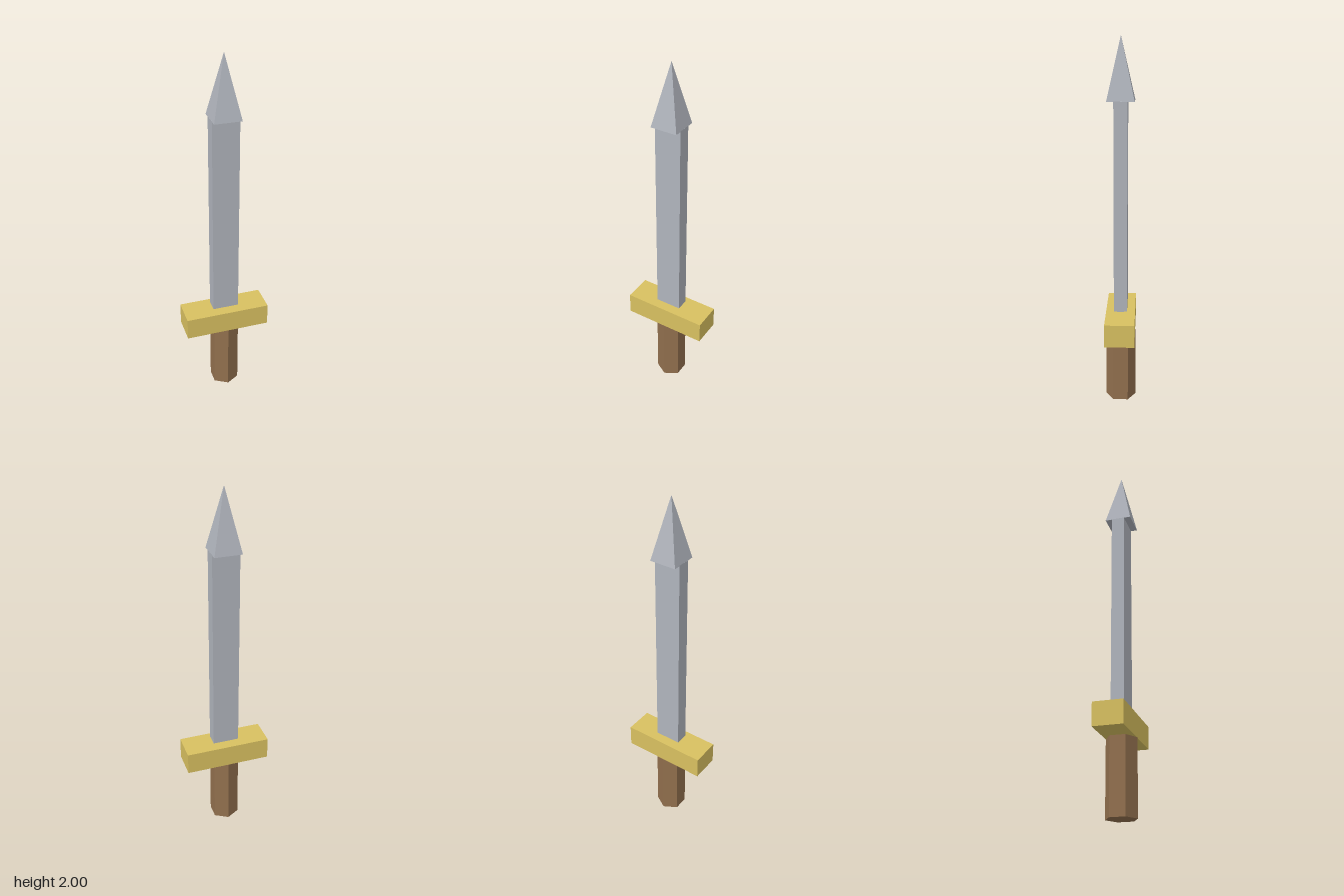
import * as THREE from 'three';

export function createModel() {
  const sword = new THREE.Group();
  sword.name = 'sword';

  const material = (color) => new THREE.MeshStandardMaterial({ color, flatShading: true });
  const steel = material(0xb0b4bc);
  const gold = material(0xd8c060);
  const wood = material(0x92704e);

  // Adds a part whose geometry is centred on its own height, spanning y0 to y1
  function addPart(name, geometry, mat, y0, y1) {
    const mesh = new THREE.Mesh(geometry, mat);
    mesh.name = name;
    mesh.position.y = (y0 + y1) / 2;
    sword.add(mesh);
  }

  // Hexagonal grip, with one edge facing the front
  addPart('grip', new THREE.CylinderGeometry(0.083, 0.083, 0.4, 6), wood, 0, 0.4);

  // Crossguard
  addPart('crossguard', new THREE.BoxGeometry(0.476, 0.125, 0.16), gold, 0.4, 0.525);

  // Short tang joining the guard and the blade
  addPart('tang', new THREE.BoxGeometry(0.1, 0.02, 0.04), steel, 0.52, 0.54);

  // Flat blade
  addPart('blade', new THREE.BoxGeometry(0.146, 1.137, 0.072), steel, 0.538, 1.675);

  // Square pyramid tip, wider than the blade is thick
  const tip = new THREE.ConeGeometry(0.073 * Math.SQRT2, 0.327, 4).rotateY(Math.PI / 4);
  addPart('bladeTip', tip, steel, 1.673, 2);

  return sword;
}
